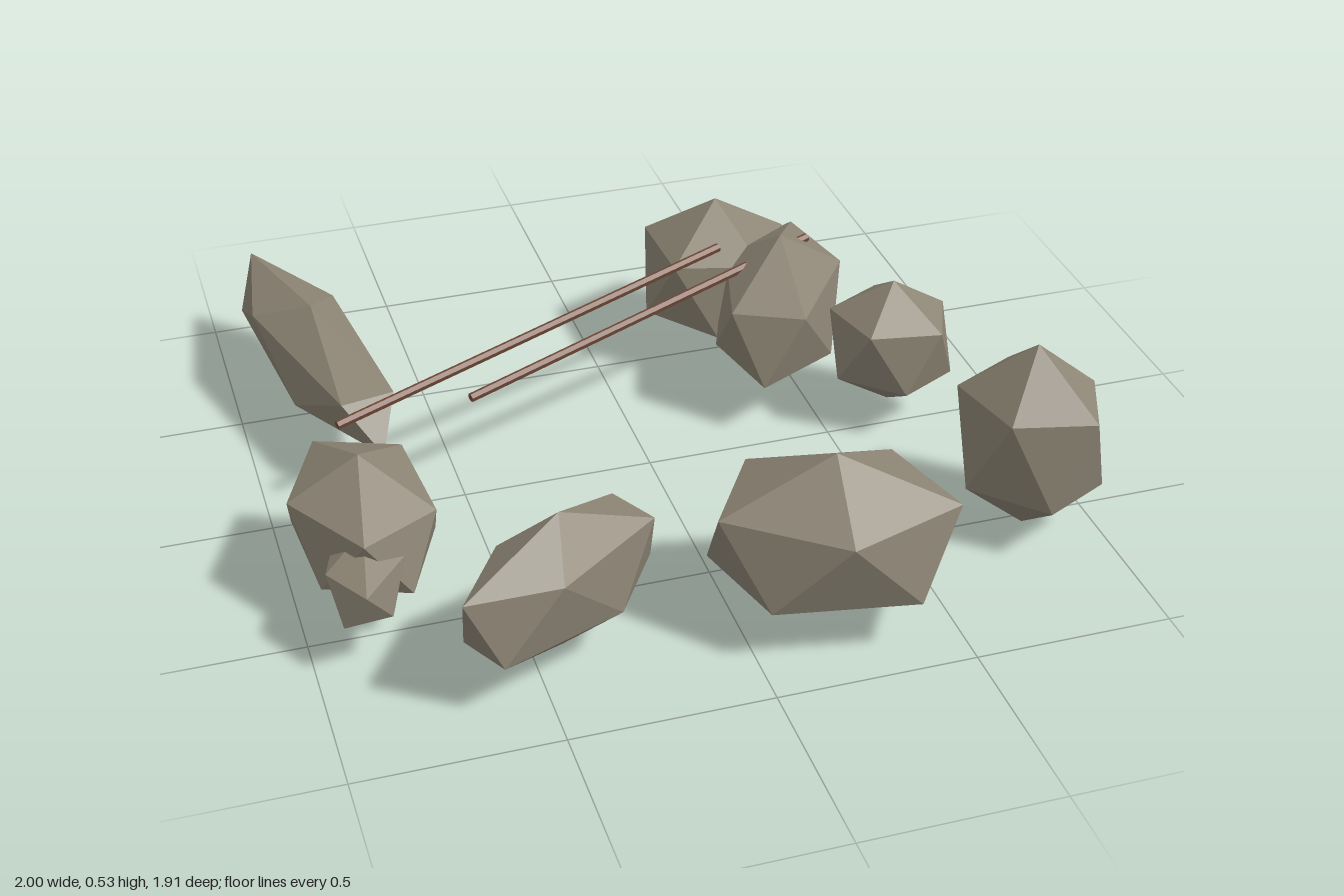
import * as THREE from 'three';
import { ConvexGeometry } from 'three/addons/geometries/ConvexGeometry.js';

const stoneMat = new THREE.MeshStandardMaterial({ color: 0x8c8474 });
stoneMat.name = 'stoneGrey';
const woodMat = new THREE.MeshStandardMaterial({ color: 0x744c38 });
woodMat.name = 'stickBrown';

const RING = Math.sqrt(0.2); // ring height of a unit icosahedron standing on its pole
const BED = 0.146;           // height shared by the lower rings of all stones

// Stretched icosahedron; u and v are the two (x, z) semi-axes of its rings
function makeStone(name, [cx, cz], h, u, v) {
  const pts = [new THREE.Vector3(0, h, 0), new THREE.Vector3(0, -h, 0)];
  for (let i = 0; i < 10; i++) {
    const c = Math.cos(i * Math.PI / 5), s = Math.sin(i * Math.PI / 5);
    const y = (i % 2 ? -1 : 1) * RING * h;
    pts.push(new THREE.Vector3(u[0] * c + v[0] * s, y, u[1] * c + v[1] * s));
  }
  const mesh = new THREE.Mesh(new ConvexGeometry(pts), stoneMat);
  mesh.name = name;
  mesh.position.set(cx, BED + RING * h, cz);
  return mesh;
}

// Thin six-sided stick between two points
function makeStick(name, from, to) {
  const a = new THREE.Vector3(...from), b = new THREE.Vector3(...to);
  const dir = b.clone().sub(a);
  const geo = new THREE.CylinderGeometry(0.012, 0.012, dir.length(), 6).toNonIndexed();
  geo.computeVertexNormals();
  const mesh = new THREE.Mesh(geo, woodMat);
  mesh.name = name;
  mesh.position.copy(a).add(b).multiplyScalar(0.5);
  mesh.quaternion.setFromUnitVectors(new THREE.Vector3(0, 1, 0), dir.normalize());
  return mesh;
}

export function createModel() {
  const group = new THREE.Group();
  group.name = 'stoneRing';

  // Ring of stones: name, centre (x, z), half height, ring axes
  const stones = [
    ['frontLeftStone', [0.827, 0.528], 0.264, [0.171, -0.016], [-0.042, -0.186]],
    ['frontStone', [0.226, 0.738], 0.22, [-0.293, 0.016], [0.062, 0.224]],
    ['frontRightStone', [-0.435, 0.715], 0.19, [-0.261, 0.144], [0.057, 0.105]],
    ['rightStone', [-0.82, 0.325], 0.176, [-0.178, 0.011], [0.018, 0.249]],
    ['rightPebble', [-0.845, 0.485], 0.105, [-0.032, 0.187], [0.1, -0.01]],
    ['backRightSlab', [-0.79, -0.49], 0.134, [-0.091, -0.464], [0.119, -0.023]],
    ['backStone', [0.35, -0.53], 0.22, [0.203, -0.016], [0.007, 0.213]],
    ['backLeftStone', [0.46, -0.305], 0.21, [-0.192, 0.171], [0.045, 0.213]],
    ['leftStone', [0.688, -0.05], 0.183, [0.155, -0.021], [-0.039, -0.155]],
  ];
  for (const s of stones) group.add(makeStone(...s));

  // Sticks leaning on the back stones
  group.add(makeStick('backStick', [-0.81, 0.25, -0.04], [0.31, 0.397, -0.38]));
  group.add(makeStick('frontStick', [-0.465, 0.267, -0.04], [0.565, 0.387, -0.38]));

  return group;
}
